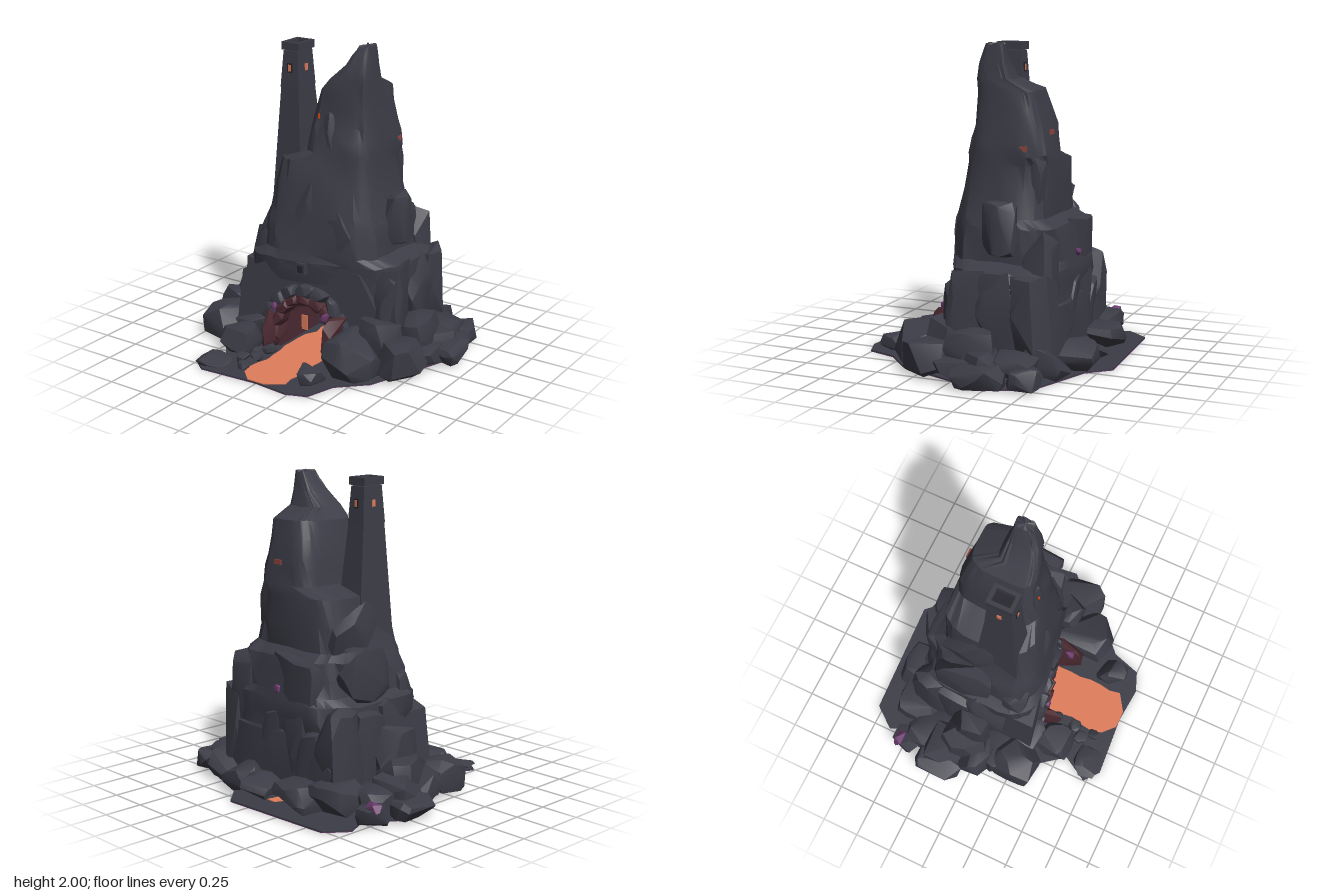
import * as THREE from 'three';
import { toCreasedNormals } from 'three/addons/utils/BufferGeometryUtils.js';
import { ConvexGeometry } from 'three/addons/geometries/ConvexGeometry.js';

const hash = (a, b = 0) => {
  const s = Math.sin(a * 127.1 + b * 311.7) * 43758.5453;
  return s - Math.floor(s);
};
const sp = (v, e) => Math.sign(v) * Math.abs(v) ** e;
const lerp = THREE.MathUtils.lerp;

// Rough stone body through sections [y, x0, x1, z0, z1]; slabs are chipped inward
function cragGeometry(sections, n, chip, skew) {
  const rings = [];
  sections.forEach((s, i) => {
    rings.push(s);
    const t = sections[i + 1];
    if (t && t[0] - s[0] > 0.12) rings.push(s.map((v, j) => (v + t[j]) / 2));
  });
  const pos = [], idx = [];
  rings.forEach(([y, x0, x1, z0, z1], i) => {
    const cx = (x0 + x1) / 2, cz = (z0 + z1) / 2;
    for (let k = 0; k < n; k++) {
      const a = (k / n) * Math.PI * 2;
      const f = 1 - chip * hash(Math.floor(k / 3) + 1, Math.floor(i / 2) + 3) - chip * 0.4 * hash(k, i);
      const nx = sp(Math.cos(a), 0.5) * f, nz = sp(Math.sin(a), 0.5) * f;
      const x = cx + nx * (x1 - x0) / 2;
      pos.push(x, y + (i === 0 ? 0 : (hash(k, i + 9) - 1) * chip * 0.2),
        cz + nz * (z1 - z0) / 2 - skew * x * (nz + 1) / 2);
    }
  });
  for (let i = 0; i < rings.length - 1; i++) {
    for (let k = 0; k < n; k++) {
      const a = i * n + k, b = i * n + (k + 1) % n;
      idx.push(a, a + n, b + n, a, b + n, b);
    }
  }
  const last = rings.length - 1, [y, x0, x1, z0, z1] = rings[last];
  pos.push((x0 + x1) / 2, y, (z0 + z1) / 2 - skew * (x0 + x1) / 4);
  for (let k = 0; k < n; k++) idx.push(rings.length * n, last * n + (k + 1) % n, last * n + k);
  const g = new THREE.BufferGeometry();
  g.setAttribute('position', new THREE.Float32BufferAttribute(pos, 3));
  g.setIndex(idx);
  return toCreasedNormals(g, 0.4);
}

// Chunky convex stone filling the box w, h, d
function stoneGeometry(w, h, d, seed) {
  const pts = [];
  for (let i = 0; i < 24; i++) {
    const v = new THREE.Vector3(hash(seed, i) - 0.5, hash(seed + 7, i) - 0.5, hash(seed + 13, i) - 0.5).normalize();
    pts.push(v.divideScalar(Math.max(Math.abs(v.x), Math.abs(v.y), Math.abs(v.z)) ** 0.6));
  }
  const box = new THREE.Box3().setFromPoints(pts), c = box.getCenter(new THREE.Vector3());
  const size = box.getSize(new THREE.Vector3()), want = new THREE.Vector3(w, h, d);
  pts.forEach(p => p.sub(c).divide(size).multiply(want));
  return toCreasedNormals(new ConvexGeometry(pts), 0.5);
}

const shape = (points, Type = THREE.Shape) => new Type(points.map(p => new THREE.Vector2(...p)));

// Flat plate from [x, z] points
const plateGeometry = (points, depth) =>
  new THREE.ExtrudeGeometry(shape(points.map(([x, z]) => [x, -z])), { depth, bevelEnabled: false }).rotateX(-Math.PI / 2);

// Wall with a hole, slanted back towards +x
function slantedWall(outer, hole, depth) {
  outer.holes.push(hole);
  const g = new THREE.ExtrudeGeometry(outer, { depth, bevelEnabled: false }), p = g.attributes.position;
  for (let i = 0; i < p.count; i++) p.setZ(i, p.getZ(i) - 0.18 * p.getX(i));
  g.computeVertexNormals();
  return g;
}

function arch(Type, r, top) {
  const pts = [[-r, 0], [r, 0]];
  for (let i = 0; i <= 8; i++) {
    const a = (i / 8) * Math.PI;
    pts.push([r * Math.cos(a), 0.2 + (top - 0.2) * Math.sin(a)]);
  }
  return shape(pts, Type);
}

// Box tapering from a bottom [y, x, z, w, d] to a top
function taper(a, b) {
  const g = new THREE.BoxGeometry(1, 1, 1), p = g.attributes.position;
  for (let i = 0; i < p.count; i++) {
    const [y, x, z, w, d] = a.map((v, j) => lerp(v, b[j], p.getY(i) + 0.5));
    p.setXYZ(i, x + p.getX(i) * w, y, z + p.getZ(i) * d);
  }
  g.computeVertexNormals();
  return g;
}

export function createModel() {
  const model = new THREE.Group();
  const material = (name, color, side = THREE.FrontSide) => {
    const m = new THREE.MeshStandardMaterial({ color, side });
    m.name = name;
    return m;
  };
  const rock = material('dark rock', 0x3c3c47);
  const dark = material('shadow stone', 0x24242b);
  const lava = material('pale lava', 0xe07d5a);
  const glow = material('orange glow', 0xe44a08);
  const ember = material('ember red stone', 0x4c2a32, THREE.DoubleSide);
  const purple = material('deep purple', 0x6a3a6c);
  const under = material('underside red', 0x94463f);
  const amber = material('underside amber', 0xd9782c);

  const add = (name, g, m, x = 0, y = 0, z = 0, parent = model) => {
    const mesh = new THREE.Mesh(g, m);
    mesh.name = name;
    mesh.position.set(x, y, z);
    parent.add(mesh);
    return mesh;
  };
  const floor = 0.009;
  const boulder = (name, x, z, w, h, d, seed) => add(name, stoneGeometry(w, h, d, seed), rock, x, floor + h / 2, z);

  // Main crag: plinth, stepped shoulders, leaning peak
  add('crag', cragGeometry([
    [floor, -.52, .58, -.57, -.2], [.43, -.5, .59, -.56, -.2], [.45, -.5, .59, -.56, .24],
    [.64, -.48, .57, -.56, .26], [.69, -.43, .48, -.54, .26], [.9, -.39, .46, -.53, .25],
    [.95, -.36, .43, -.45, .24], [1.27, -.3, .38, -.44, .18], [1.33, -.11, .37, -.43, .16],
    [1.5, -.08, .35, -.41, .13], [1.72, -.02, .325, -.35, .11], [1.79, .05, .32, -.19, .1],
    [1.88, .15, .31, -.16, .08], [2, .215, .295, -.14, .03]], 36, 0.075, 0.18), rock);

  // Front wall with a deep cave, its lining and the glowing back
  const wall = shape([[-.5, 0], [.5, 0], [.48, .35], [.36, .58], [.1, .64], [-.2, .62], [-.44, .5]]);
  add('caveWall', slantedWall(wall, arch(THREE.Path, .185, .4), .45), rock, 0, floor, -.22);
  add('caveLining', slantedWall(arch(THREE.Shape, .183, .398), arch(THREE.Path, .177, .392), .44), ember, 0, floor, -.21);
  add('caveSide', new THREE.BoxGeometry(.006, .22, .34), purple, .172, .125, 0);
  add('caveBack', new THREE.ShapeGeometry(arch(THREE.Shape, .185, .4)), ember, 0, floor, -.18);
  add('caveGlow', new THREE.ShapeGeometry(arch(THREE.Shape, .118, .33)), glow, .005, floor, -.17);
  add('lavaShard', new THREE.BoxGeometry(.045, .1, .008), lava, -.1, .14, .1);

  // Stones round the cave mouth, reddened on the inner ring and side wings
  for (let i = 0; i < 9; i++) {
    const a = (i / 8) * Math.PI, c = Math.cos(a), s = Math.sin(a), z = .21 - .045 * c;
    add('archStone', stoneGeometry(.1, .13, .14, 40 + i), rock, .255 * c, .14 + .29 * s, z).rotation.z = a;
    add('archInnerStone', stoneGeometry(.08, .12, .13, 60 + i), ember, .195 * c, .13 + .24 * s, z + .01).rotation.z = a;
  }
  for (const s of [-1, 1]) {
    add('emberWing', stoneGeometry(.08, .3, .24, 80 + s), ember, .225 * s, .16, .28 - .02 * s).rotation.z = -s * .15;
    add('purpleFacet', stoneGeometry(.04, .06, .06, 90 + s), purple, .19 * s, .31, .3);
  }

  // Small window above the cave
  add('windowFrame', new THREE.BoxGeometry(.065, .075, .06), rock, -.01, .59, .25);
  add('windowPane', new THREE.BoxGeometry(.04, .045, .006), dark, -.01, .59, .281);

  // Slim watchtower: four flat sides, hollow collar, lit windows
  const tower = new THREE.Group();
  tower.name = 'watchtower';
  tower.position.set(-.208, 0, .005);
  model.add(tower);
  const part = (...args) => add(...args, tower);
  part('towerShaft', taper([.7, 0, -.025, .25, .34], [1.71, 0, 0, .13, .18]), rock, 0, 0, 0);
  part('towerUpper', taper([1.7, 0, 0, .137, .187], [1.93, 0, 0, .108, .155]), rock, 0, 0, 0);
  const rect = (Type, x, z) => shape([[-x, -z], [x, -z], [x, z], [-x, z]], Type);
  const rim = rect(THREE.Shape, .065, .085);
  rim.holes.push(rect(THREE.Path, .04, .06));
  part('towerCollar', new THREE.ExtrudeGeometry(rim, { depth: .05, bevelEnabled: false }).rotateX(-Math.PI / 2), rock, 0, 1.935, 0);
  part('towerWell', new THREE.BoxGeometry(.085, .006, .125), dark, 0, 1.94, 0);
  for (const s of [-1, 1]) {
    part('towerWindowFrame', new THREE.BoxGeometry(.036, .06, .012), dark, 0, 1.825, s * .085);
    part('towerWindow', new THREE.BoxGeometry(.022, .042, .006), lava, 0, 1.825, s * .09);
    part('towerSideWindow', new THREE.BoxGeometry(.008, .042, .028), lava, s * .061, 1.825, 0);
  }

  // Buttress slabs against the crag: [x, bottom, z, width, height, depth]
  [
    [-.4, .62, -.2, .15, .34, .4], [-.57, floor, -.1, .15, .49, .28], [-.33, .38, .15, .22, .42, .16],
    [-.3, .9, -.2, .12, .36, .36], [-.08, .55, .13, .3, .62, .2], [.16, .55, .09, .28, .5, .22],
    [.44, .72, -.18, .12, .34, .24], [.4, .3, -.44, .22, .59, .2], [.48, .1, .04, .24, .5, .24],
    [.18, .9, -.36, .32, .5, .12], [-.1, .55, -.46, .4, .37, .16], [.08, 1.05, .04, .28, .55, .16],
    [.5, floor, .12, .26, .33, .26],
  ].forEach(([x, y, z, w, h, d], i) => add('buttress', stoneGeometry(w, h, d, i + 101), rock, x, y + h / 2, z));
  for (const s of [-1, 1]) {
    for (let i = 0; i < 3; i++) {
      boulder('footing', .04 + s * .45, -.42 + i * .2, .24, .64, .28, 120 + i * 2 + s);
      boulder('backSlab', s * (.1 + .13 * i), -.48, .26, .6 - .1 * i, .16, 130 + i * 2 + s);
    }
  }

  // Skirt of boulders round the sides and back, open at the lava stream at both ends
  for (let i = 0; i < 15; i++) {
    const a = lerp(1, -4.15, i / 14), side = Math.abs(Math.cos(a));
    const w = .24 + .08 * hash(i, 1), h = .15 + .12 * hash(i, 4) * side;
    boulder('boulder', .71 * Math.cos(a) + (i === 7 ? .11 : 0), -.15 + .47 * Math.sin(a), w, h, w, 150 + i);
  }
  for (const s of [-1, 1]) {
    boulder('outerBoulder', s * .79, -.21, .27, .14, .32, 170 + s);
    boulder('cornerBoulder', s * .76, -.48, .18, .14, .2, 174 + s);
    boulder('innerBoulder', s * .63, -.1, .26, .31, .32, 178 + s);
    boulder('sideBoulder', s * .64 + .04, .22 - .04 * s, .27, .22, .32, 190 + s);
  }
  boulder('caveBoulder', .44, .31, .34, .25, .42, 182);
  boulder('caveBoulder', -.35, .43, .24, .18, .28, 183);
  boulder('frontBoulder', .28, .6, .17, .12, .2, 184);
  boulder('frontBoulder', -.38, .7, .22, .06, .18, 185);
  for (let i = 0; i < 5; i++) {
    const w = .07 + .03 * hash(i, 5);
    boulder('pebble', -.18 - .06 * (i % 2), .38 + i * .07, w, w * .7, w, 200 + i);
  }
  add('purpleFacet', stoneGeometry(.11, .06, .06, 31), purple, -.8, .135, -.52);
  add('purpleFacet', stoneGeometry(.05, .05, .03, 32), purple, .02, .7, -.54);

  // Glowing cracks high on the peak
  add('crack', new THREE.BoxGeometry(.009, .035, .05), under, .352, 1.37, -.3);
  add('crack', new THREE.BoxGeometry(.06, .03, .009), under, .15, 1.46, -.408);
  add('crack', new THREE.BoxGeometry(.009, .03, .009), glow, .03, 1.56, .12);

  // Ground slab and its underside
  const outline = [[-.5, .73], [-.4, .81], [0, .78], [.24, .8], [.37, .75], [.43, .56], [.6, .4], [.7, .15], [.85, -.25],
    [.72, -.52], [.28, -.68], [.15, -.82], [-.63, -.78], [-.74, -.64], [-.68, -.5], [-.85, -.25], [-.6, .3], [-.4, .56]];
  add('ground', plateGeometry(outline, .008), rock, 0, .006, 0);
  add('groundUnderside', plateGeometry(outline, .004), purple, 0, .002, 0);

  // Lava stream with ragged edges, widest at the front
  const bank = s => Array.from({ length: 20 }, (_, i) => {
    const z = lerp(-.65, .78, i / 19), w = i === 19 ? .08 : lerp(.05, .175, Math.min(1, i / 9));
    return [.015 + s * (w - .045 * hash(i, 6 + s)) - (i < 4 ? .06 : 0), z];
  });
  const stream = [...bank(-1), ...bank(1).reverse()];
  add('lavaStream', plateGeometry(stream, .006), lava, 0, .013, 0);
  add('undersideStain', plateGeometry(stream.map(([x, z]) => [x * 1.1, z]), .0015), under, 0, .001, 0);
  add('undersideGlow', plateGeometry([[-.05, -.32], [.04, -.28], [.05, -.08], [.01, -.02], [-.04, -.1]], .001), amber);
  return model;
}
